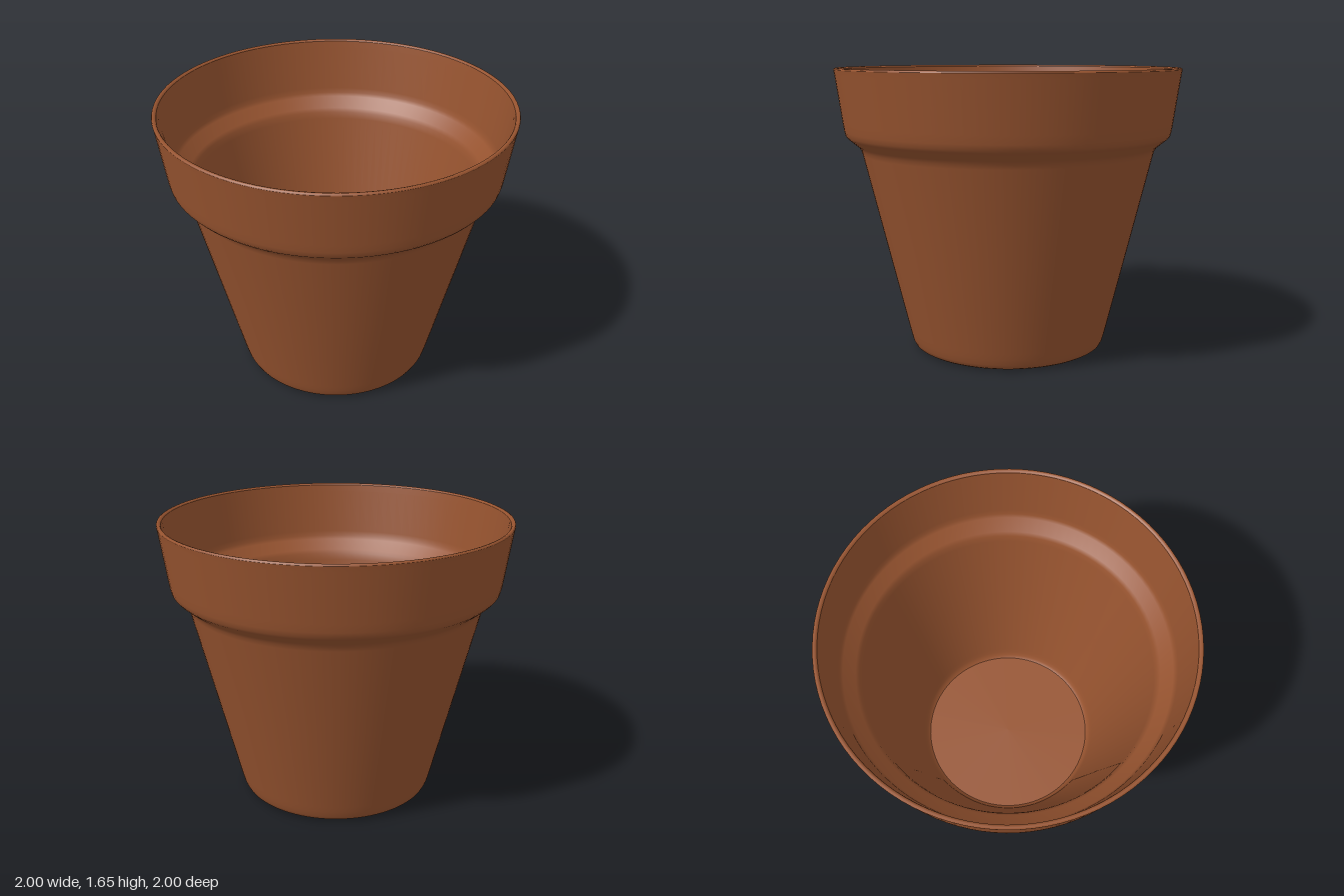
import * as THREE from 'three';

const SEGMENTS = 96;

export function createModel() {
  const pot = new THREE.Group();
  pot.name = 'flowerPot';
  const terracotta = new THREE.MeshStandardMaterial({ color: 0x96532f });
  terracotta.name = 'terracotta';

  // Each surface is its own lathe, so the edges between them stay sharp
  const addLathe = (name, profile) => {
    const points = profile.map(([r, y]) => new THREE.Vector2(r, y));
    const mesh = new THREE.Mesh(new THREE.LatheGeometry(points, SEGMENTS), terracotta);
    mesh.name = name;
    pot.add(mesh);
  };

  // Flat underside
  addLathe('underside', [[0, 0], [0.45, 0], [0.55, 0.008]]);

  // Outside: rounded foot, tapered body, shoulder and collar
  addLathe('outerWall', [
    [0.55, 0.008], [0.567, 0.018], [0.578, 0.04], [0.588, 0.075], [0.597, 0.11],
    [0.725, 0.64], [0.85, 1.16], [0.858, 1.185], [0.872, 1.205],
    [0.93, 1.252], [0.943, 1.268], [0.95, 1.295], [0.957, 1.34],
    [0.995, 1.61], [1, 1.64],
  ]);

  // Narrow rounded lip
  addLathe('lip', [[1, 1.64], [0.997, 1.647], [0.99, 1.65], [0.98, 1.647], [0.975, 1.64]]);

  // Inside: collar, sloping ledge and tapered bowl
  addLathe('innerWall', [
    [0.975, 1.64], [0.968, 1.6], [0.924, 1.34], [0.918, 1.31], [0.906, 1.288],
    [0.845, 1.232], [0.828, 1.21], [0.818, 1.17],
    [0.69, 0.64], [0.565, 0.12], [0.555, 0.085], [0.545, 0.055], [0.528, 0.04],
  ]);

  // Inside floor
  addLathe('floor', [[0.528, 0.04], [0, 0.04]]);

  return pot;
}
